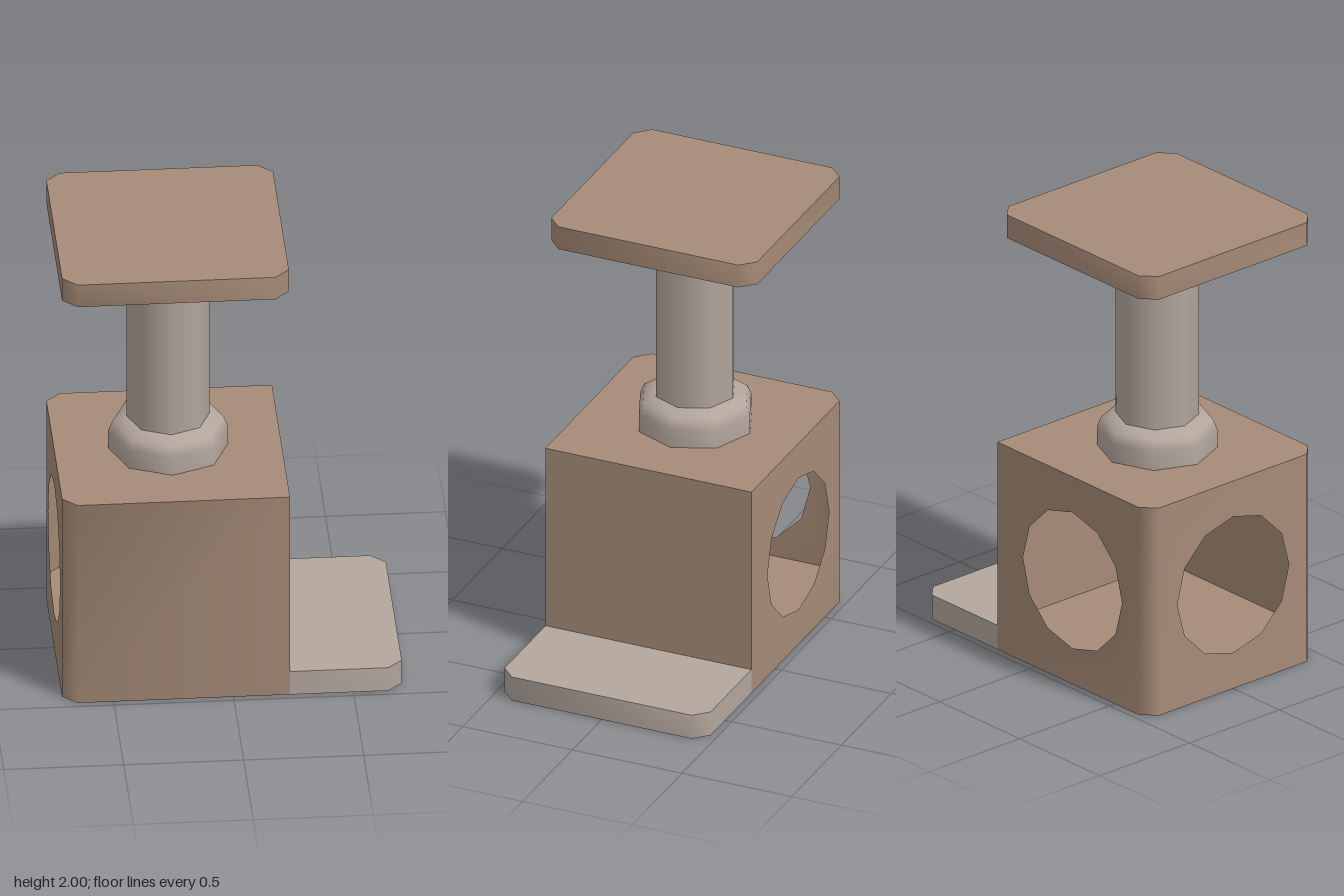
import * as THREE from 'three';
import { mergeGeometries, toCreasedNormals } from 'three/addons/utils/BufferGeometryUtils.js';

const CREASE = 0.9; // keeps right angles sharp, smooths the corner chamfers
const POST_X = -0.235;
const HALF = 0.47;
const CUT = 0.06;

// Footprint with optional chamfers on the left-hand and right-hand corners
function footprint(x0, x1, cut0, cut1) {
  const pts = [
    [x0, -HALF + cut0], [x0 + cut0, -HALF], [x1 - cut1, -HALF], [x1, -HALF + cut1],
    [x1, HALF - cut1], [x1 - cut1, HALF], [x0 + cut0, HALF], [x0, HALF - cut0],
  ];
  return pts
    .filter((p, i) => i === 0 || p[0] !== pts[i - 1][0] || p[1] !== pts[i - 1][1])
    .map(([x, z]) => new THREE.Vector2(x, z));
}

// Horizontal slab from a footprint
function slab(points, y, height) {
  const geo = new THREE.ExtrudeGeometry(new THREE.Shape(points), { depth: height, bevelEnabled: false });
  geo.rotateX(Math.PI / 2);
  geo.translate(0, y + height, 0);
  return toCreasedNormals(geo, CREASE);
}

// Horizontal sheet from a footprint, facing up or down
function sheet(points, y, up) {
  const flipped = points.map((p) => new THREE.Vector2(p.x, up ? -p.y : p.y));
  return new THREE.ShapeGeometry(new THREE.Shape(flipped))
    .rotateX(up ? -Math.PI / 2 : Math.PI / 2)
    .translate(0, y, 0);
}

// Upright wall standing on a footprint edge, with an optional round opening
function wall(a, b, height, hole) {
  const dx = b.x - a.x, dz = b.y - a.y;
  const w = Math.hypot(dx, dz);
  const shape = new THREE.Shape([
    new THREE.Vector2(0, 0), new THREE.Vector2(w, 0),
    new THREE.Vector2(w, height), new THREE.Vector2(0, height),
  ]);
  if (hole) {
    const ring = [];
    for (let i = 0; i < 12; i++) {
      const t = -i * Math.PI / 6;
      ring.push(new THREE.Vector2(hole.at + hole.r * Math.cos(t), hole.y + hole.r * Math.sin(t)));
    }
    shape.holes.push(new THREE.Path(ring));
  }
  return new THREE.ShapeGeometry(shape)
    .rotateY(Math.atan2(-dz, dx))
    .translate(a.x, 0, a.y);
}

export function createModel() {
  const model = new THREE.Group();
  model.name = 'catTree';

  const brown = new THREE.MeshStandardMaterial({ color: 0xa68b77, side: THREE.DoubleSide });
  brown.name = 'brown carpet';
  const grey = new THREE.MeshStandardMaterial({ color: 0xb3a69d });
  grey.name = 'warm grey plush';

  const add = (name, geo, mat) => {
    const mesh = new THREE.Mesh(geo, mat);
    mesh.name = name;
    model.add(mesh);
    return mesh;
  };

  // Hollow house: openings in the back and in the side away from the step
  const H = 0.945;
  const plan = footprint(-0.71, 0.235, CUT, 0);
  const panels = [];
  plan.forEach((p, i) => {
    const q = plan[(i + 1) % plan.length];
    const a = q, b = p; // reversed so that the walls face outwards
    const isBack = a.y === -HALF && b.y === -HALF;
    const isSide = a.x === -0.71 && b.x === -0.71;
    let hole = null;
    if (isBack) hole = { at: Math.abs(POST_X - a.x), y: 0.473, r: 0.31 };
    if (isSide) hole = { at: Math.abs(a.y), y: 0.473, r: 0.31 };
    if (a.distanceTo(b) > 0.001) panels.push(wall(a, b, H, hole));
  });
  panels.push(sheet(plan, H, true), sheet(plan, 0, false));
  add('house', toCreasedNormals(mergeGeometries(panels), CREASE), brown);

  // Inner floor and ceiling
  add('houseFloor', sheet(plan, 0.115, true), brown);
  add('houseCeiling', sheet(plan, 0.885, false), brown);

  // Low step beside the house
  add('step', slab(footprint(0.235, 0.705, 0, CUT), 0, 0.11), grey);

  // Rounded collar at the foot of the post
  const collar = new THREE.LatheGeometry([
    [0.25, 0.94], [0.25, 1.03], [0.232, 1.073], [0.175, 1.095], [0.15, 1.095],
  ].map(([r, y]) => new THREE.Vector2(r, y)), 8);
  add('postCollar', collar, grey).position.x = POST_X;

  // Post
  const post = new THREE.CylinderGeometry(0.173, 0.173, 0.82, 8, 1, true);
  add('post', post, grey).position.set(POST_X, 1.49, 0);

  // Top perch
  add('perch', slab(footprint(-0.71, 0.235, CUT, CUT), 1.895, 0.105), brown);

  return model;
}
